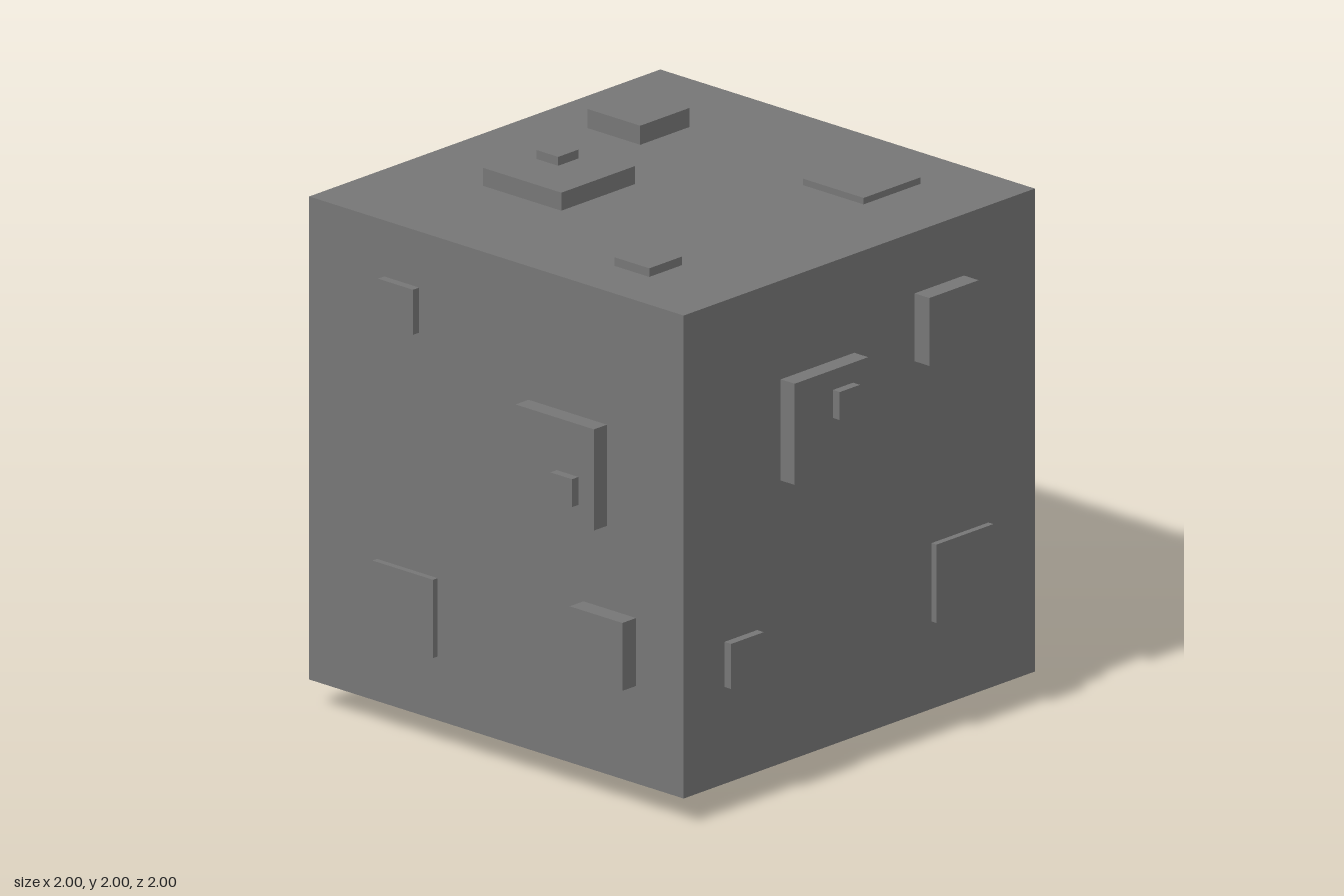
import * as THREE from 'three';

const HALF = 0.9; // half the cube's edge
const SINK = 0.02; // how far each plate is embedded below its face

// Raised plates of one face: centre (u, v), side length, top height above the face
const PLATES = [
  { name: 'smallPlate', u: -0.455, v: 0.607, size: 0.168, height: 0.032 },
  { name: 'largePlate', u: 0.343, v: 0.214, size: 0.377, height: 0.067 },
  { name: 'largePlateStud', u: 0.405, v: 0.155, size: 0.104, height: 0.1 },
  { name: 'thickPlate', u: 0.545, v: -0.41, size: 0.253, height: 0.071 },
  { name: 'thinPlate', u: -0.428, v: -0.516, size: 0.292, height: 0.024 },
];

// Directions of u and v on every face; the outward normal is u x v
const FACES = [
  { name: 'frontFace', u: [1, 0, 0], v: [0, 1, 0] },
  { name: 'backFace', u: [-1, 0, 0], v: [0, 1, 0] },
  { name: 'leftFace', u: [0, 1, 0], v: [0, 0, 1] },
  { name: 'rightFace', u: [0, 0, 1], v: [0, 1, 0] },
  { name: 'topFace', u: [-1, 0, 0], v: [0, 0, 1] },
  { name: 'bottomFace', u: [1, 0, 0], v: [0, 0, 1] },
];

export function createModel() {
  const model = new THREE.Group();
  model.name = 'platedCube';
  const material = new THREE.MeshStandardMaterial({ color: 0x767676, flatShading: true });

  // Cube body
  const body = new THREE.Mesh(new THREE.BoxGeometry(2 * HALF, 2 * HALF, 2 * HALF), material);
  body.name = 'cubeBody';
  body.position.y = 1;
  model.add(body);

  // The same set of plates, turned onto each of the six faces
  for (const face of FACES) {
    const u = new THREE.Vector3(...face.u);
    const v = new THREE.Vector3(...face.v);
    const normal = new THREE.Vector3().crossVectors(u, v);
    const group = new THREE.Group();
    group.name = face.name;
    group.quaternion.setFromRotationMatrix(new THREE.Matrix4().makeBasis(u, v, normal));
    group.position.copy(normal).multiplyScalar(HALF);
    group.position.y += 1;

    for (const p of PLATES) {
      const plate = new THREE.Mesh(new THREE.BoxGeometry(p.size, p.size, p.height + SINK), material);
      plate.name = p.name;
      plate.position.set(p.u, p.v, (p.height - SINK) / 2);
      group.add(plate);
    }
    model.add(group);
  }
  return model;
}
